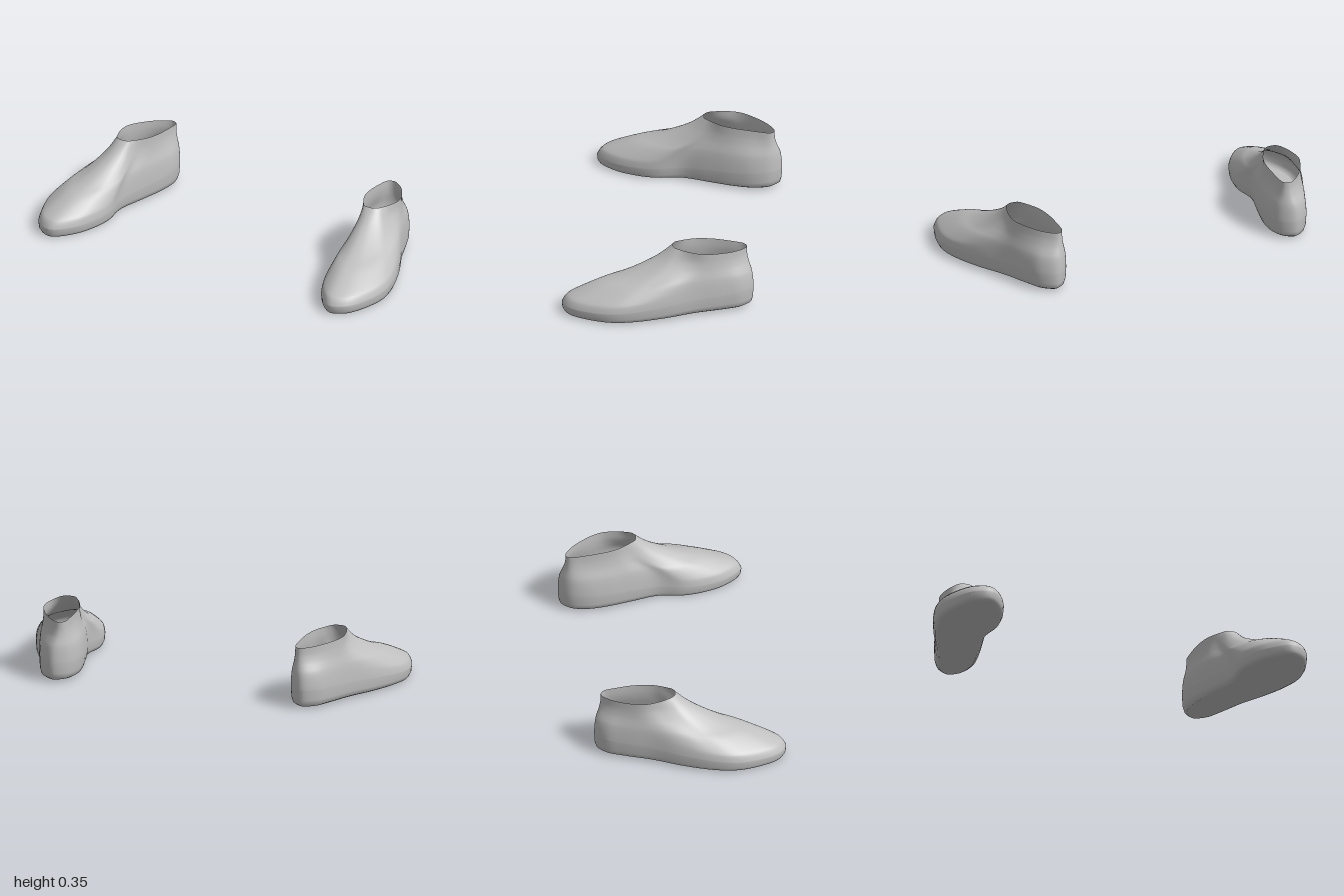
import * as THREE from 'three';

const { lerp, smoothstep } = THREE.MathUtils;
const COLUMNS = 90, ROWS = 24;

// Plan outlines of the left foot as [x, z]: heel, inner side, toe, outer side.
const FOOT = [[.68, -.487], [.61, -.44], [.585, -.35], [.597, -.24], [.635, -.1], [.67, .03],
  [.66, .16], [.68, .27], [.735, .39], [.83, .477], [.915, .44], [.975, .32], [.998, .2],
  [.98, .08], [.925, -.07], [.855, -.21], [.80, -.35], [.755, -.44]];
const RIM = [[.66, -.45], [.63, -.435], [.622, -.36], [.625, -.26], [.64, -.19], [.665, -.14],
  [.685, -.11], [.70, -.09], [.712, -.083], [.73, -.08], [.745, -.08], [.762, -.085], [.778, -.1],
  [.79, -.125], [.805, -.17], [.812, -.25], [.77, -.345], [.715, -.415]];

// Rise from foot outline to rim as [share of the way inward, share of the height].
const INSTEP = [[0, 0], [.03, .1], [.09, .18], [.32, .37], [.5, .48], [.68, .62], [.86, .8], [1, 1]];
const ANKLE = [[0, 0], [.02, .12], [.1, .28], [.25, .42], [.5, .54], [.75, .66], [.95, .82], [1, 1]];

// Rounded sole edge as [inset, share of the height up to the widest line].
const SOLE_EDGE = [[.024, 0], [.011, .1], [.003, .4]];

const loop = pts => new THREE.CatmullRomCurve3(pts.map(([x, z]) => new THREE.Vector3(x, 0, z)), true);
const profile = pts => new THREE.SplineCurve(pts.map(p => new THREE.Vector2(...p)));

// Skin a stack of closed rings; side = -1 mirrors it to the other foot.
function loft(rings, side) {
  const n = rings[0].length, pos = [], index = [];
  rings.forEach(ring => ring.forEach(([x, y, z]) => pos.push(x * side, y, z)));
  for (let r = 0; r < rings.length - 1; r++) {
    for (let c = 0; c < n; c++) {
      const a = r * n + c, b = r * n + (c + 1) % n, d = a + n, e = b + n;
      if (side > 0) index.push(a, b, d, b, e, d);
      else index.push(a, d, b, b, d, e);
    }
  }
  const geo = new THREE.BufferGeometry();
  geo.setAttribute('position', new THREE.Float32BufferAttribute(pos, 3));
  geo.setIndex(index);
  geo.computeVertexNormals();
  return geo;
}

function footRings() {
  const foot = loop(FOOT), rim = loop(RIM), instep = profile(INSTEP), ankle = profile(ANKLE);
  const rings = Array.from({ length: SOLE_EDGE.length + ROWS + 1 }, () => []);
  for (let c = 0; c < COLUMNS; c++) {
    const t = c / COLUMNS, p = foot.getPoint(t), q = rim.getPoint(t), tan = foot.getTangent(t);
    const toe = smoothstep(p.z, -.49, .48);
    const base = lerp(.011, 0, toe), wide = lerp(.1, .045, toe);
    const top = q.z > -.3 ? lerp(.33, .345, (q.z + .3) / .22) : lerp(.315, .33, (q.z + .45) / .15);

    SOLE_EDGE.forEach(([inset, h], r) => rings[r].push(
      [p.x + tan.z * inset, lerp(base, wide, h), p.z - tan.x * inset]));

    // Long slopes follow the instep profile, short ones the upright ankle.
    const slope = smoothstep(p.distanceTo(q), .08, .34);
    for (let r = 0; r <= ROWS; r++) {
      const s = ankle.getPoint(r / ROWS).lerp(instep.getPoint(r / ROWS), slope);
      rings[SOLE_EDGE.length + r].push(
        [lerp(p.x, q.x, s.x), lerp(wide, top, s.y), lerp(p.z, q.z, s.x)]);
    }
  }
  return rings;
}

export function createModel() {
  const grey = new THREE.MeshStandardMaterial({ color: 0xc0c0c0, side: THREE.DoubleSide });
  grey.name = 'light grey';
  const model = new THREE.Group();
  model.name = 'pairOfShoes';
  const rings = footRings();
  const soleCentre = rings[0].map(() => [.78, .005, 0]);

  for (const [side, name] of [[1, 'left'], [-1, 'right']]) {
    const shoe = new THREE.Group();
    shoe.name = name + 'Shoe';
    const upper = new THREE.Mesh(loft(rings, side), grey);
    upper.name = name + 'Upper';
    const sole = new THREE.Mesh(loft([soleCentre, rings[0]], side), grey);
    sole.name = name + 'Sole';
    shoe.add(upper, sole);
    model.add(shoe);
  }
  return model;
}
